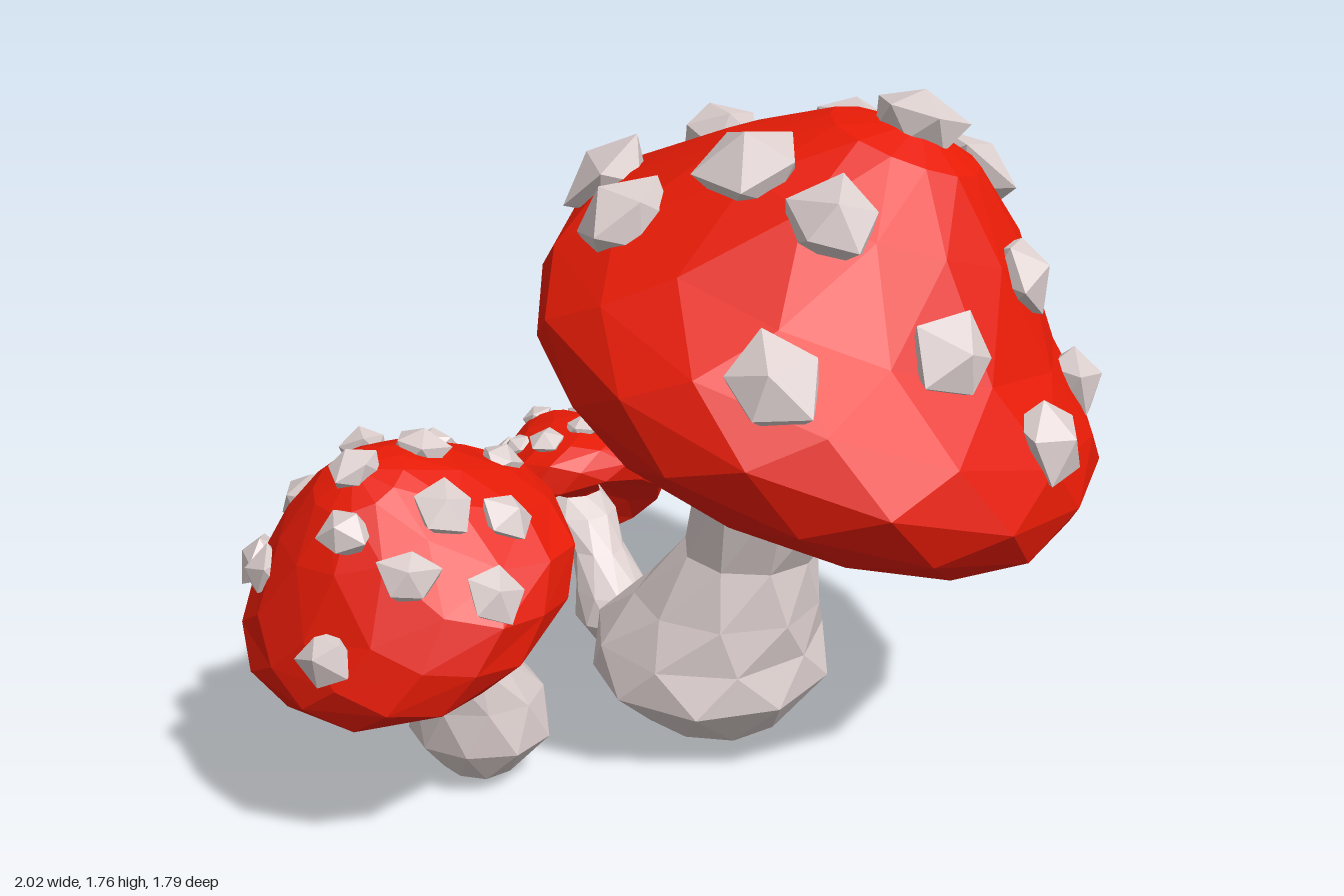
import * as THREE from 'three';

const capRed = new THREE.MeshStandardMaterial({ color: 0xe61b06, flatShading: true });
capRed.name = 'capRed';
const paleStem = new THREE.MeshStandardMaterial({ color: 0xdacdcc, flatShading: true });
paleStem.name = 'paleStem';

let seed = 7;
const rand = () => {
  seed = (seed * 16807) % 2147483647;
  return seed / 2147483647 - 0.5;
};

// Faceted skin over rings [x, y, z, radius, x stretch], each turned half a step from the last
function loft(rings, sides, jitter) {
  const pos = [], index = [];
  rings.forEach(([x, y, z, r, stretch = 1], i) => {
    for (let j = 0; j < sides; j++) {
      const a = ((j + i / 2) / sides) * Math.PI * 2;
      const k = r * (1 + jitter * rand());
      pos.push(x + k * stretch * Math.cos(a), y + r * jitter * 0.5 * rand(), z + k * Math.sin(a));
    }
  });
  for (let i = 0; i < rings.length - 1; i++) {
    for (let j = 0; j < sides; j++) {
      const n = (j + 1) % sides;
      const a = i * sides + j, a1 = i * sides + n;
      const b = a + sides, b1 = a1 + sides;
      index.push(a, b, a1, a1, b, b1);
    }
  }
  const geo = new THREE.BufferGeometry();
  geo.setAttribute('position', new THREE.Float32BufferAttribute(pos, 3));
  geo.setIndex(index);
  geo.computeVertexNormals();
  return geo;
}

// Cap profile from the hollow underside, round the lip, to the crown: radius, height, lean
const CAP = [
  [0, 0.06, 0], [0.25, 0.04, 0], [0.5, -0.09, 0], [0.65, -0.17, 0], [0.735, -0.09, 0],
  [0.765, 0.03, 0], [0.725, 0.14, -0.03], [0.615, 0.27, -0.07], [0.41, 0.48, -0.05],
  [0.2, 0.63, -0.02], [0, 0.69, 0],
];

const UP = new THREE.Vector3(0, 1, 0);

// Offsets from the cap centre for spots listed by their ground position [x, z]
const fromTop = ([cx, , cz], list) => list.map(([x, z]) => [x - cx, cz - z]);

// Spots are dropped against the direction dropFrom, at offsets along sideways and its upright
function mushroom({ name, stem, centre, axis, scale, lean, sides, spotSize, spots,
  dropFrom = [0, 1, 0], sideways = [1, 0, 0] }) {
  const group = new THREE.Group();
  group.name = name;

  const stalk = new THREE.Mesh(loft(stem, 9, 0.07), paleStem);
  stalk.name = 'stem';
  group.add(stalk);

  const origin = new THREE.Vector3(...centre);
  const turn = new THREE.Quaternion().setFromUnitVectors(UP, new THREE.Vector3(...axis).normalize());
  const rings = CAP.map(([r, y, s]) => [s * lean, y, s * lean, r, 0.975]);
  const geo = loft(rings, sides, 0.04);
  geo.scale(scale, scale, scale);
  geo.applyQuaternion(turn);
  geo.translate(...centre);
  const cap = new THREE.Mesh(geo, capRed);
  cap.name = 'cap';
  group.add(cap);
  cap.updateMatrixWorld();

  // Drop every spot onto the cap, moving it inward if it falls outside
  const from = new THREE.Vector3(...dropFrom).normalize();
  const right = new THREE.Vector3(...sideways).normalize();
  const upright = from.clone().cross(right);
  const ray = new THREE.Raycaster();
  const warts = new THREE.Group();
  warts.name = 'spots';
  for (const [u, v] of spots) {
    let hit;
    for (let t = 1; t > 0.5 && !hit; t -= 0.03) {
      const start = origin.clone().addScaledVector(from, 3)
        .addScaledVector(right, u * t).addScaledVector(upright, v * t);
      ray.set(start, from.clone().negate());
      hit = ray.intersectObject(cap)[0];
    }
    if (!hit) continue;
    const outward = hit.point.clone().sub(origin).normalize();
    const normal = hit.face.normal.clone().addScaledVector(outward, 0.5).normalize();
    const s = spotSize * (1 + 0.2 * rand());
    const spot = new THREE.Mesh(loft([
      [0, -0.45 * s, 0, 0.8 * s],
      [0, 0.2 * s, 0, s],
      [0.2 * s * rand(), 0.72 * s, 0.2 * s * rand(), 0],
    ], 5, 0.4), paleStem);
    spot.name = 'spot';
    spot.position.copy(hit.point);
    spot.quaternion.setFromUnitVectors(UP, normal);
    spot.rotateY(rand() * 6);
    warts.add(spot);
  }
  group.add(warts);
  return group;
}

export function createModel() {
  seed = 7;
  const model = new THREE.Group();
  model.name = 'mushroomCluster';

  const largeCentre = [0.295, 1.04, -0.13];
  model.add(mushroom({
    name: 'largeMushroom',
    stem: [
      [0.03, 0, -0.14, 0], [0.03, 0.03, -0.14, 0.19], [0.01, 0.17, -0.145, 0.33],
      [0.005, 0.28, -0.145, 0.315], [0.07, 0.4, -0.13, 0.255], [0.135, 0.55, -0.105, 0.185],
      [0.24, 0.8, -0.09, 0.205, 1.15], [0.3, 1.0, -0.1, 0.22, 1.15], [0.32, 1.08, -0.11, 0.2],
    ],
    centre: largeCentre, axis: [0.34, 0.94, 0], scale: 1, lean: 1, sides: 14,
    spotSize: 0.114,
    spots: fromTop(largeCentre, [
      [0.33, -0.79], [0, -0.65], [0.69, -0.65], [0.29, -0.48], [-0.03, -0.36], [0.61, -0.41],
      [0.92, -0.28], [0.52, -0.14], [-0.25, -0.11], [0.79, -0.1], [0.18, 0.1], [-0.12, 0.17],
      [0.9, 0.12], [0.4, 0.22], [0.68, 0.23], [0.33, 0.51],
    ]),
  }));

  const frontCentre = [-0.578, 0.615, 0.475];
  model.add(mushroom({
    name: 'frontMushroom',
    stem: [
      [-0.48, 0.025, 0.32, 0], [-0.48, 0.045, 0.32, 0.1], [-0.48, 0.14, 0.315, 0.172, 1.1],
      [-0.475, 0.26, 0.32, 0.16, 1.05], [-0.5, 0.39, 0.38, 0.11], [-0.53, 0.57, 0.45, 0.13],
      [-0.55, 0.64, 0.475, 0.11],
    ],
    centre: frontCentre, axis: [-0.14, 1, 0.43], scale: 0.56, lean: 0, sides: 12,
    spotSize: 0.064,
    spots: fromTop(frontCentre, [
      [-0.82, 0.23], [-0.63, 0.18], [-0.41, 0.26], [-0.88, 0.41], [-0.72, 0.39], [-0.54, 0.45],
      [-0.97, 0.5], [-0.3, 0.51], [-0.63, 0.62], [-0.41, 0.61], [-0.85, 0.68], [-0.27, 0.67],
      [-0.6, 0.74], [-0.44, 0.75], [-0.61, 0.85],
    ]),
  }));

  model.add(mushroom({
    name: 'backMushroom',
    stem: [
      [-0.35, 0.045, -0.42, 0], [-0.35, 0.06, -0.42, 0.07], [-0.35, 0.13, -0.42, 0.12],
      [-0.37, 0.21, -0.44, 0.11], [-0.43, 0.31, -0.49, 0.08], [-0.5, 0.4, -0.55, 0.1],
      [-0.54, 0.45, -0.58, 0.085],
    ],
    centre: [-0.53, 0.43, -0.56], axis: [-0.5, 0.72, -0.48], scale: 0.4, lean: 0, sides: 12,
    spotSize: 0.05, dropFrom: [-0.62, 0.47, -0.62], sideways: [-1, 0, 1],
    spots: [
      [0, 0.25], [0.12, 0.24], [-0.12, 0.24], [-0.2, 0.16], [0.17, 0.16], [-0.09, 0.12],
      [0.04, 0.11], [0.25, 0.07], [-0.23, -0.03], [-0.12, 0.01], [0.01, -0.06], [0.14, 0.02],
      [0.13, -0.12], [0.25, -0.06], [-0.13, -0.17], [0.03, -0.21],
    ],
  }));

  return model;
}
